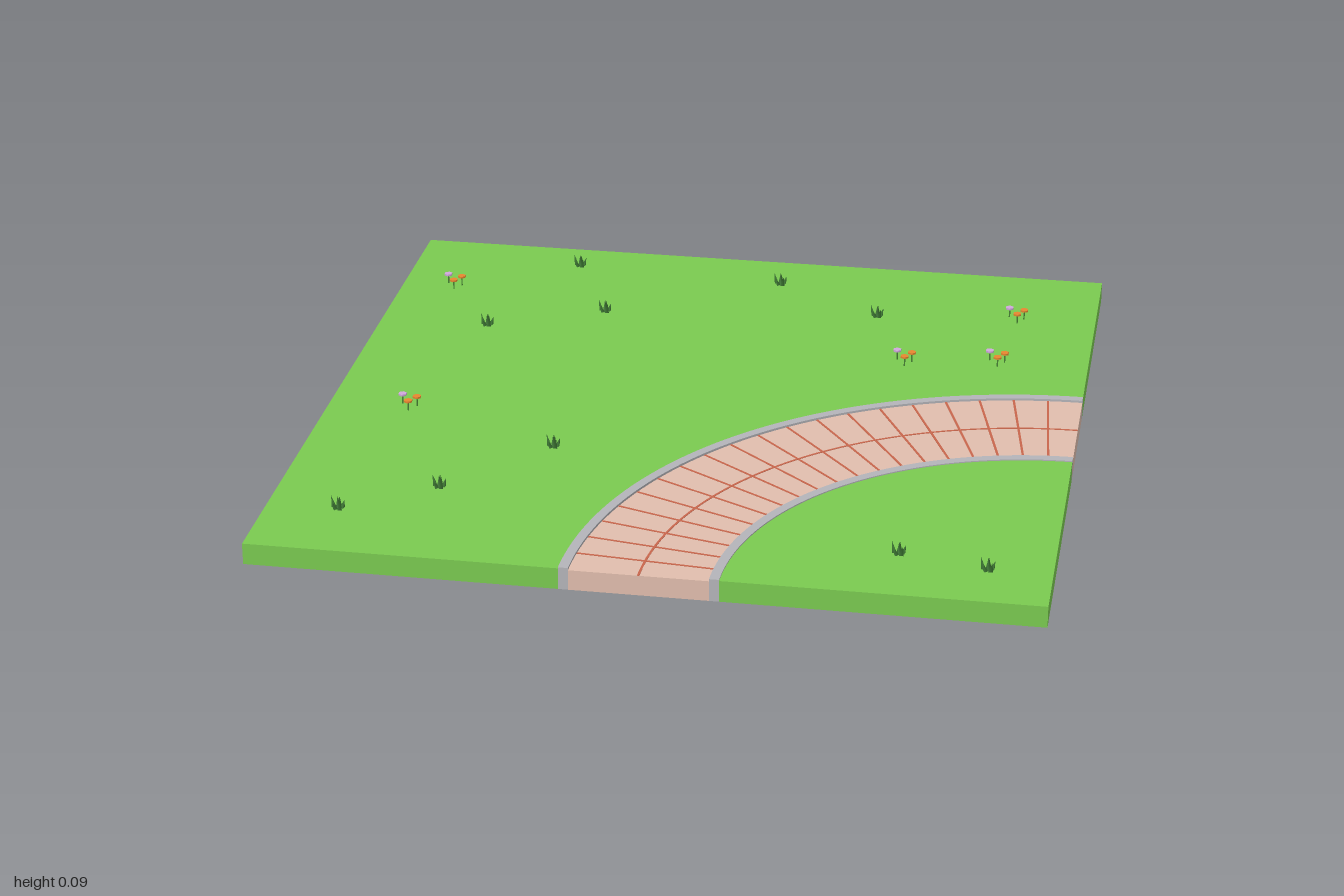
import * as THREE from 'three';

const mat = (name, color) => {
  const m = new THREE.MeshStandardMaterial({ color });
  m.name = name;
  return m;
};

const GRASS_TOP = 0.058, ROAD_TOP = 0.055, CURB_TOP = 0.061, BASE = 0.001;

export function createModel() {
  const grass = mat('grass green', 0x7aca50);
  const soil = mat('soil brown', 0x503832);
  const paving = mat('paving pink', 0xe0bdad);
  const seam = mat('seam terracotta', 0xc8664c);
  const stone = mat('curb grey', 0xb4b4b9);
  const blade = mat('tuft dark green', 0x3f7a35);
  const stemGreen = mat('stem green', 0x4c8a38);
  const lilac = mat('petal lilac', 0xd0a8dc);
  const orange = mat('petal orange', 0xf58f33);

  const model = new THREE.Group();
  model.name = 'curvedPathTile';
  const add = (parent, name, geometry, material, x = 0, y = 0, z = 0) => {
    const mesh = new THREE.Mesh(geometry, material);
    mesh.name = name;
    mesh.position.set(x, y, z);
    parent.add(mesh);
    return mesh;
  };

  // Flat outlines are drawn in (x, -z) and raised from y0 to y1
  const raise = (shape, y0, y1) =>
    new THREE.ExtrudeGeometry(shape, { depth: y1 - y0, bevelEnabled: false, curveSegments: 40 })
      .rotateX(-Math.PI / 2).translate(0, y0, 0);

  // Quarter ring around the tile corner at x = 1, z = 1
  const band = (r0, r1, y0, y1) => {
    const s = new THREE.Shape();
    s.absarc(1, -1, r1, Math.PI / 2, Math.PI, false);
    s.absarc(1, -1, r0, Math.PI, Math.PI / 2, true);
    s.closePath();
    return raise(s, y0, y1);
  };

  // Lawns on either side of the path
  const outer = new THREE.Shape();
  outer.moveTo(-1, -1);
  outer.lineTo(-0.2, -1);
  outer.absarc(1, -1, 1.2, Math.PI, Math.PI / 2, true);
  outer.lineTo(1, 1);
  outer.lineTo(-1, 1);
  outer.closePath();
  add(model, 'outerLawn', raise(outer, BASE, GRASS_TOP), grass);
  const inner = new THREE.Shape();
  inner.moveTo(1, -1);
  inner.lineTo(1, -0.2);
  inner.absarc(1, -1, 0.8, Math.PI / 2, Math.PI, false);
  inner.closePath();
  add(model, 'innerLawn', raise(inner, BASE, GRASS_TOP), grass);

  // Soil underside
  add(model, 'soilUnderside', new THREE.PlaneGeometry(2, 2).rotateX(Math.PI / 2), soil);

  // Path with its curbs
  add(model, 'pathPaving', band(0.825, 1.175, BASE, ROAD_TOP), paving);
  add(model, 'innerCurb', band(0.8, 0.825, BASE, CURB_TOP), stone);
  add(model, 'outerCurb', band(1.175, 1.2, BASE, CURB_TOP), stone);

  // Paving seams: one along the middle and a row across
  const seams = new THREE.Group();
  seams.name = 'pavingSeams';
  model.add(seams);
  add(seams, 'middleSeam', band(0.997, 1.003, ROAD_TOP, ROAD_TOP + 0.001), seam);
  const crossSeam = new THREE.BoxGeometry(0.35, 0.001, 0.006);
  for (let i = 1; i < 20; i++) {
    const a = Math.PI / 2 + (i * Math.PI) / 40;
    add(seams, 'crossSeam', crossSeam, seam, 1 + Math.cos(a), ROAD_TOP + 0.0005, 1 - Math.sin(a)).rotation.y = a;
  }

  // Grass tufts: five leaning blades of uneven height around a middle one
  const bladeGeo = new THREE.ConeGeometry(0.008, 0.034, 3).translate(0, 0.017, 0);
  const tufts = [
    [-0.52, -0.88], [0.08, -0.84], [0.385, -0.655], [-0.385, -0.565], [-0.695, -0.415],
    [-0.35, 0.33], [-0.59, 0.61], [-0.815, 0.77], [0.615, 0.785], [0.84, 0.835],
  ];
  for (const [x, z] of tufts) {
    const tuft = new THREE.Group();
    tuft.name = 'grassTuft';
    tuft.position.set(x, GRASS_TOP, z);
    add(tuft, 'blade', bladeGeo, blade);
    for (let i = 0; i < 5; i++) {
      const turn = new THREE.Group();
      turn.rotation.y = Math.PI / 2 + (i * Math.PI * 2) / 5;
      const leaf = add(turn, 'blade', bladeGeo, blade, 0.01, -0.003, 0);
      leaf.rotation.z = -0.28;
      leaf.scale.y = [0.85, 1.05, 0.7, 0.95, 0.8][i];
      tuft.add(turn);
    }
    model.add(tuft);
  }

  // Flower clusters: one lilac and two orange heads on thin stems
  const stemGeo = new THREE.CylinderGeometry(0.002, 0.002, 0.026, 4).translate(0, 0.013, 0);
  const headGeo = new THREE.CylinderGeometry(0.012, 0.012, 0.005, 6);
  const heads = [[-0.022, -0.02, lilac], [0.02, -0.01, orange], [0.003, 0.02, orange]];
  const clusters = [[-0.85, -0.67], [0.778, -0.692], [0.497, -0.35], [0.75, -0.387], [-0.782, 0.155]];
  for (const [x, z] of clusters) {
    const cluster = new THREE.Group();
    cluster.name = 'flowerCluster';
    cluster.position.set(x, GRASS_TOP, z);
    for (const [hx, hz, petal] of heads) {
      add(cluster, 'stem', stemGeo, stemGreen, hx, 0, hz);
      add(cluster, 'flowerHead', headGeo, petal, hx, 0.028, hz);
    }
    model.add(cluster);
  }
  return model;
}
